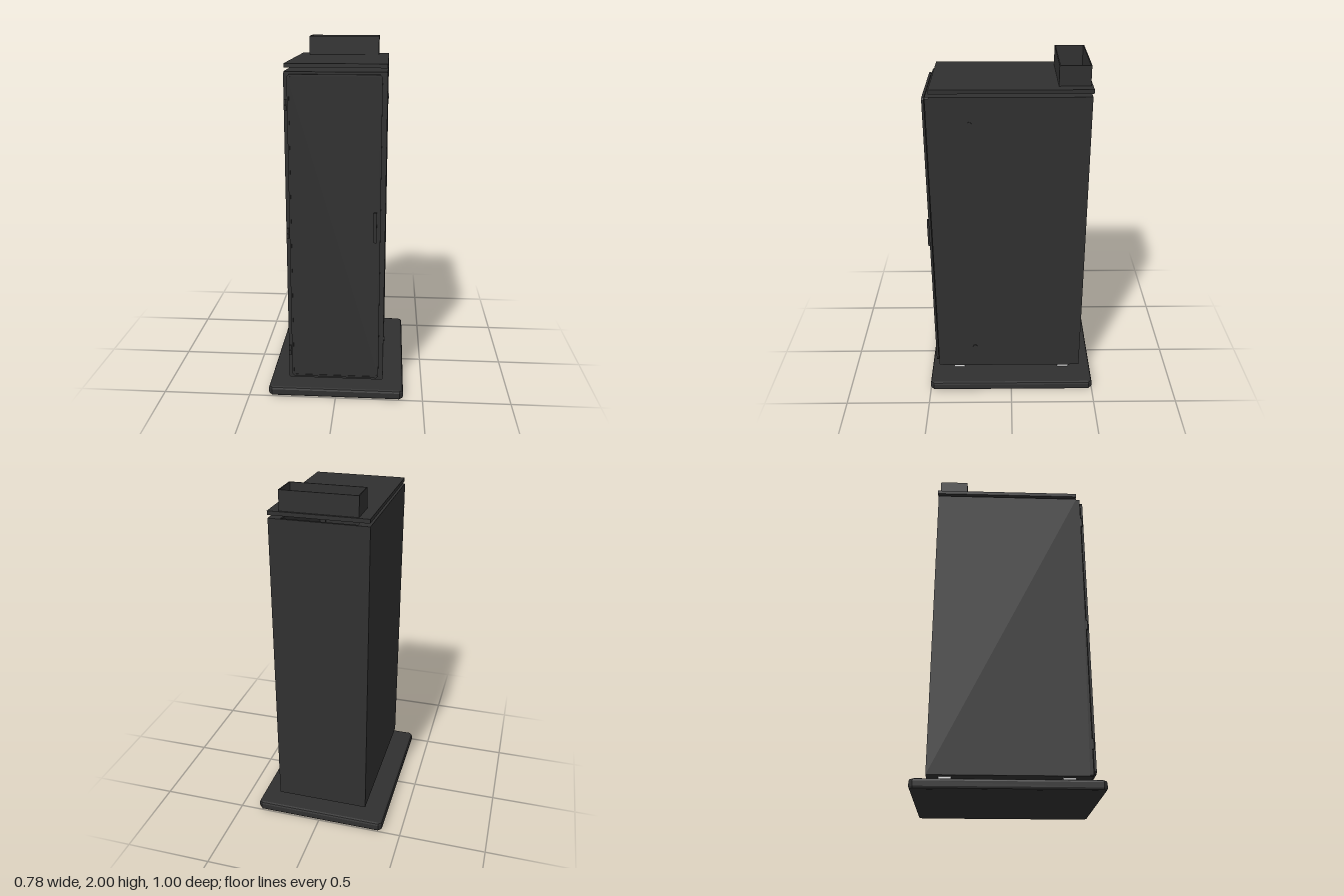
import * as THREE from 'three';

const dark = new THREE.MeshStandardMaterial({ color: 0x303030 });
dark.name = 'charcoal steel';
const pale = new THREE.MeshStandardMaterial({ color: 0xe0e0e0 });
pale.name = 'pale feet';

// Rectangle outline with cut corners
function rect(x0, y0, x1, y1, cut = 0, Type = THREE.Shape) {
  const p = cut
    ? [[x0 + cut, y0], [x1 - cut, y0], [x1, y0 + cut], [x1, y1 - cut], [x1 - cut, y1], [x0 + cut, y1], [x0, y1 - cut], [x0, y0 + cut]]
    : [[x0, y0], [x1, y0], [x1, y1], [x0, y1]];
  return new Type(p.map(([x, y]) => new THREE.Vector2(x, y)));
}

export function createModel() {
  const model = new THREE.Group();
  model.name = 'cabinet';

  const add = (name, geometry, material = dark) => {
    const mesh = new THREE.Mesh(geometry, material);
    mesh.name = name;
    model.add(mesh);
    return mesh;
  };
  // Box given by its lower and upper limits
  const box = (name, x0, x1, y0, y1, z0, z1, material) => {
    const mesh = add(name, new THREE.BoxGeometry(x1 - x0, y1 - y0, z1 - z0), material);
    mesh.position.set((x0 + x1) / 2, (y0 + y1) / 2, (z0 + z1) / 2);
    return mesh;
  };
  // Horizontal plate, with the shape's y running towards the back
  const plate = (name, shape, y0, y1) => {
    const g = new THREE.ExtrudeGeometry(shape, { depth: y1 - y0, bevelEnabled: false });
    g.rotateX(-Math.PI / 2).translate(0, y0, 0);
    return add(name, g);
  };

  // Plinth with bevelled edges
  const bevel = 0.014;
  const plinth = new THREE.ExtrudeGeometry(rect(-0.374, -0.486, 0.374, 0.486, 0.012), {
    depth: 0.055 - 2 * bevel, bevelThickness: bevel, bevelSize: bevel, bevelSegments: 2,
  });
  plinth.rotateX(-Math.PI / 2).translate(0, bevel, 0);
  add('plinth', plinth);

  // Feet, ending just above the cabinet floor
  for (const x of [-0.2, 0.2]) {
    for (const z of [-0.328, 0.328]) box('foot', x - 0.032, x + 0.032, 0.055, 0.112, z - 0.034, z + 0.034, pale);
  }

  // Cabinet shell
  box('leftWall', 0.26, 0.27, 0.1, 1.85, -0.425, 0.43);
  box('rightWall', -0.27, -0.26, 0.1, 1.85, -0.425, 0.43);
  box('backWall', -0.26, 0.26, 0.1, 1.85, -0.425, -0.415);
  box('floor', -0.26, 0.26, 0.1, 0.11, -0.415, 0.43);

  // Ceiling and raised roof share the vent opening
  const ceiling = rect(-0.26, -0.43, 0.26, 0.415);
  ceiling.holes.push(rect(-0.204, 0.256, 0.204, 0.41, 0, THREE.Path));
  plate('ceiling', ceiling, 1.84, 1.85);
  const roof = rect(-0.27, -0.43, 0.27, 0.43);
  roof.holes.push(rect(-0.204, 0.256, 0.204, 0.412, 0, THREE.Path));
  plate('roof', roof, 1.868, 1.89);

  // Open collar around the vent
  const collar = rect(-0.21, 0.25, 0.21, 0.418);
  collar.holes.push(rect(-0.204, 0.256, 0.204, 0.412, 0, THREE.Path));
  plate('ventCollar', collar, 1.89, 2);

  // Bracket and post below the vent
  box('ventBracket', 0.135, 0.198, 1.83, 1.84, -0.312, -0.256);
  box('ventPost', 0.16, 0.17, 1.84, 1.87, -0.282, -0.268);

  // Front frame
  const frame = rect(-0.27, 0.1, 0.27, 1.85, 0.006);
  frame.holes.push(rect(-0.225, 0.145, 0.225, 1.805, 0, THREE.Path));
  const frameGeo = new THREE.ExtrudeGeometry(frame, { depth: 0.02, bevelEnabled: false });
  add('frontFrame', frameGeo).position.z = 0.43;

  // Door with a shallow raised border
  const door = new THREE.ExtrudeGeometry(rect(-0.25, 0.118, 0.244, 1.838, 0.012), { depth: 0.01, bevelEnabled: false });
  add('door', door).position.z = 0.456;
  const border = rect(-0.25, 0.118, 0.244, 1.838, 0.012);
  border.holes.push(rect(-0.24, 0.128, 0.234, 1.828, 0.01, THREE.Path));
  const borderGeo = new THREE.ExtrudeGeometry(border, { depth: 0.003, bevelEnabled: false });
  add('doorBorder', borderGeo).position.z = 0.466;

  // Door handle
  box('doorHandle', 0.207, 0.224, 0.94, 1.108, 0.464, 0.481);

  // Hinges
  for (const y of [0.275, 0.978, 1.68]) {
    box('hingeLeaf', -0.268, -0.244, y - 0.028, y + 0.028, 0.449, 0.458);
    for (const dy of [-0.015, 0.015]) {
      const pin = add('hingeBarrel', new THREE.CylinderGeometry(0.008, 0.008, 0.026, 12));
      pin.position.set(-0.262, y + dy, 0.454);
    }
  }

  // Round side studs
  for (const y of [0.246, 1.702]) {
    const stud = add('sideStud', new THREE.CylinderGeometry(0.014, 0.014, 0.008, 20));
    stud.rotation.z = Math.PI / 2;
    stud.position.set(0.272, y, 0.222);
  }

  return model;
}
